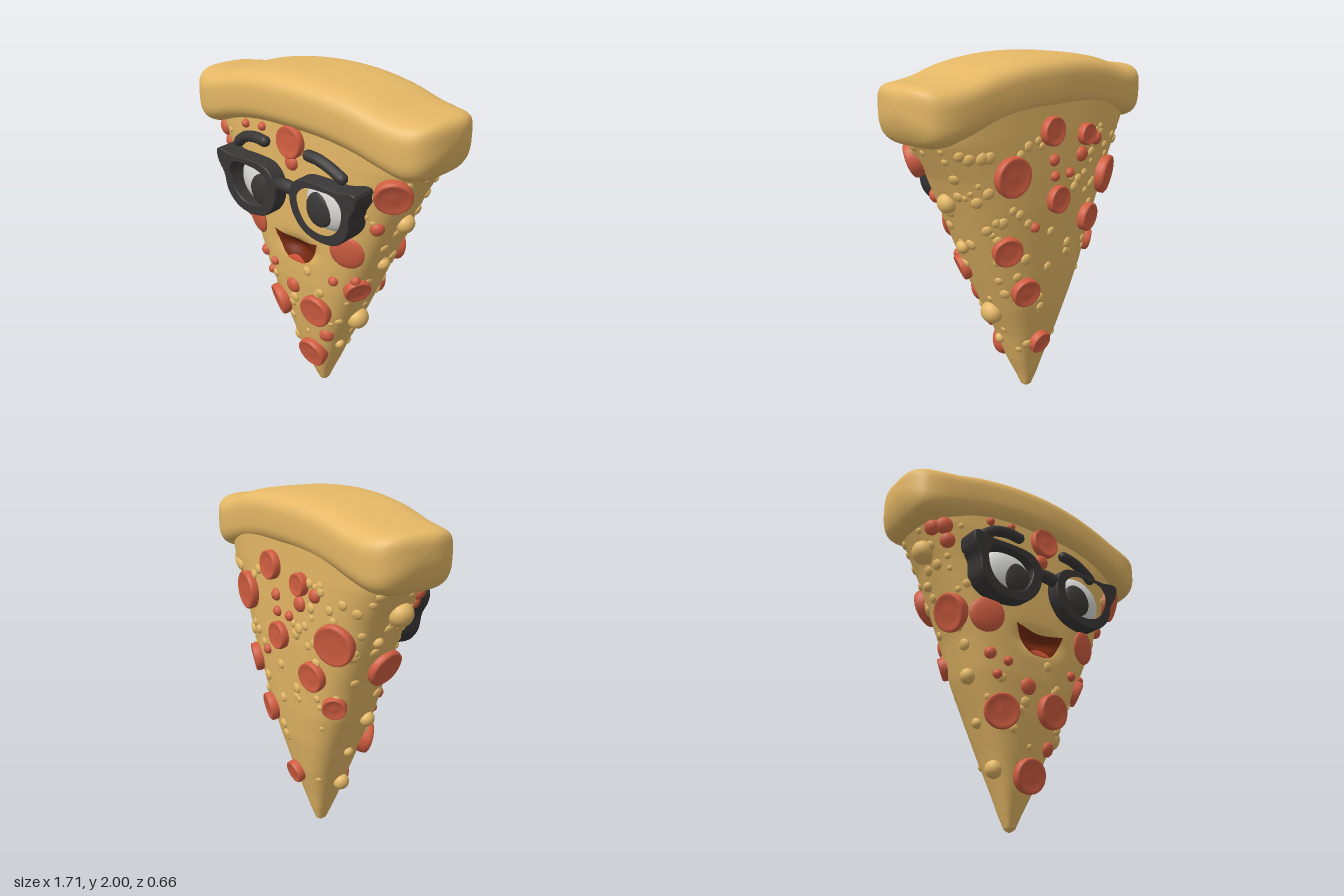
import * as THREE from 'three';
import { mergeGeometries } from 'three/addons/utils/BufferGeometryUtils.js';
import { ParametricGeometry } from 'three/addons/geometries/ParametricGeometry.js';

const V = (x, y, z = 0) => new THREE.Vector3(x, y, z);
const spow = (a, e) => Math.sign(a) * Math.pow(Math.abs(a), e);
const N = 3.1;       // squareness of the slice's cross-section
const CRUST_N = 3.5; // squareness of the crust's cross-section

// Slice outline by height: y, half width, centre x, front z, back z
const SLICE = [
  [0, 0, -0.02, -0.03, -0.03], [0.015, 0.025, -0.02, 0, -0.055], [0.1, 0.058, -0.02, 0.035, -0.085],
  [0.2, 0.1, -0.015, 0.07, -0.112], [0.4, 0.178, -0.015, 0.122, -0.17], [0.6, 0.268, -0.01, 0.167, -0.213],
  [0.8, 0.358, -0.01, 0.198, -0.24], [1.0, 0.438, 0, 0.218, -0.256], [1.2, 0.525, 0, 0.231, -0.27],
  [1.4, 0.615, 0, 0.24, -0.277], [1.6, 0.73, 0, 0.246, -0.28], [1.78, 0.77, 0, 0.246, -0.28],
];

function slice(y) {
  let i = 0;
  while (i < SLICE.length - 2 && y > SLICE[i + 1][0]) i++;
  const a = SLICE[i], b = SLICE[i + 1];
  const k = THREE.MathUtils.clamp((y - a[0]) / (b[0] - a[0]), 0, 1);
  const [, w, cx, f, r] = a.map((v, j) => v + (b[j] - v) * k);
  return { w, cx, cz: (f + r) / 2, d: (f - r) / 2 };
}

// Point on the slice surface, with the hollow of the mouth pressed in
function surf(t, y) {
  const { w, cx, cz, d } = slice(y);
  const p = V(cx + w * spow(Math.cos(t), 2 / N), y, cz + d * spow(Math.sin(t), 2 / N));
  if (Math.sin(t) > 0) p.z -= 0.05 * Math.exp(-((p.x / 0.11) ** 2) - ((y - 1.025) / 0.05) ** 2);
  return p;
}

function normalAt(t, y) {
  const e = 0.02;
  const dy = surf(t, y + e).sub(surf(t, y - e)), dt = surf(t + e, y).sub(surf(t - e, y));
  return dy.cross(dt).normalize();
}

// Surface angle for a given x on the front or back, or a given z on one side
function angleX(x, y, back) {
  const { w, cx } = slice(y);
  const t = Math.acos(spow(THREE.MathUtils.clamp((x - cx) / w, -0.995, 0.995), N / 2));
  return back ? -t : t;
}
function angleZ(side, z, y) {
  const { cz, d } = slice(y);
  const t = Math.asin(spow(THREE.MathUtils.clamp((z - cz) / d, -0.995, 0.995), N / 2));
  return side > 0 ? t : Math.PI - t;
}

// Closed skin through rings of points
function loft(rows, cols, point) {
  const pos = [], idx = [];
  for (let i = 0; i <= rows; i++)
    for (let j = 0; j < cols; j++) pos.push(...point(i / rows, (j / cols) * Math.PI * 2).toArray());
  for (let i = 0; i < rows; i++)
    for (let j = 0; j < cols; j++) {
      const a = i * cols + j, c = i * cols + (j + 1) % cols;
      idx.push(a, a + cols, c, c, a + cols, c + cols);
    }
  const g = new THREE.BufferGeometry();
  g.setAttribute('position', new THREE.Float32BufferAttribute(pos, 3));
  g.setIndex(idx);
  g.computeVertexNormals();
  return g;
}

// Seat a y-up geometry on the slice surface
function seat(geo, t, y, lift = 0) {
  const n = normalAt(t, y), p = surf(t, y).addScaledVector(n, lift);
  geo.applyQuaternion(new THREE.Quaternion().setFromUnitVectors(V(0, 1, 0), n));
  return geo.translate(p.x, p.y, p.z);
}
const blob = (r, h, seg = 12) => new THREE.SphereGeometry(1, seg, Math.ceil(seg * 0.7)).scale(r, h, r);
const pepperoniDisc = (r) => new THREE.LatheGeometry(
  [[0.88, -0.03], [0.97, 0], [1, 0.022], [0.97, 0.038], [0.88, 0.044], [0.76, 0.037], [0.4, 0.034], [0, 0.037]]
    .map(([a, h]) => new THREE.Vector2(a * r, h)), 28);

export function createModel() {
  const group = new THREE.Group();
  const mat = (name, color, side = THREE.FrontSide) => {
    const m = new THREE.MeshStandardMaterial({ color, side });
    m.name = name;
    return m;
  };
  const dough = mat('dough', 0xe5b866), red = mat('pepperoni red', 0xd25e41);
  const black = mat('frame black', 0x393736), white = mat('eye white', 0xd8d8d6);
  const maroon = mat('mouth maroon', 0x74280f, THREE.DoubleSide);
  const tongueRed = mat('tongue red', 0xd25236, THREE.DoubleSide);
  const add = (name, geo, material, parent = group) => {
    const m = new THREE.Mesh(geo, material);
    m.name = name;
    parent.add(m);
    return m;
  };

  // Slice body
  add('slice', loft(110, 96, (k, t) => surf(t, 1.78 * Math.pow(k, 1.15))), dough);

  // Crust: x, centre height, half height, half depth, mirrored about the middle
  const half = [[0.856, 1.795, 0, 0], [0.849, 1.79, 0.06, 0.085], [0.825, 1.77, 0.112, 0.165], [0.78, 1.746, 0.148, 0.225],
    [0.7, 1.742, 0.158, 0.26], [0.58, 1.766, 0.152, 0.276], [0.42, 1.808, 0.153, 0.286], [0.22, 1.838, 0.152, 0.3]];
  const full = [...half, [0, 1.847, 0.153, 0.308], ...half.slice().reverse().map(([x, ...r]) => [-x, ...r])];
  const spine = new THREE.CatmullRomCurve3(full.map(([x, y, h]) => V(x, y, h)), false, 'catmullrom');
  const depth = new THREE.CatmullRomCurve3(full.map(([x, , , d]) => V(x, d)), false, 'catmullrom');
  add('crust', loft(80, 56, (k, t) => {
    const s = spine.getPoint(k), d = Math.max(0, depth.getPoint(k).y);
    return V(s.x, s.y + Math.max(0, s.z) * spow(Math.cos(t), 2 / CRUST_N),
      d * spow(Math.sin(t), 2 / CRUST_N) * (1 + 0.03 * Math.cos(t)));
  }), dough);

  // Pepperoni discs: x, y, radius
  const discs = [[0.01, 1.65, 0.09], [0.61, 1.49, 0.1], [-0.2, 0.59, 0.098],
    [0.11, 0.645, 0.1], [0.01, 0.285, 0.098]];
  discs.forEach(([x, y, r]) => add('frontPepperoni', seat(pepperoniDisc(r), angleX(x, y), y), red));
  [[0.34, 1.41, 0.11], [0.06, 1.61, 0.08], [-0.22, 1.56, 0.062], [0, 1.23, 0.078], [-0.45, 1.29, 0.115],
    [-0.28, 1.07, 0.085], [0.19, 0.73, 0.085], [0.33, 1.0, 0.085], [0.02, 0.36, 0.07]].forEach(([x, y, r]) =>
    add('backPepperoni', seat(pepperoniDisc(r), angleX(x, y, true), y), red));
  // Side discs: side, z, y, radius
  [[1, 0.1, 0.84, 0.078], [-1, 0.06, 1.12, 0.11], [-1, -0.17, 0.9, 0.068]].forEach(
    ([s, z, y, r]) => add('sidePepperoni', seat(pepperoniDisc(r), angleZ(s, z, y), y, -0.012), red));

  // Small pepperoni pieces
  const bits = [[0, 1.53, 0.045], [0.13, 0.45, 0.045], [-0.06, 0.75, 0.05], [-0.3, 0.89, 0.035], [-0.2, 0.86, 0.028],
    [0.25, 0.89, 0.03], [-0.25, 0.78, 0.028], [-0.62, 1.57, 0.05], [-0.59, 1.49, 0.045], [-0.67, 1.56, 0.045],
    [0.51, 1.27, 0.04], [0.36, 0.91, 0.03], [-0.36, 1.665, 0.025], [-0.22, 1.68, 0.025]]
    .map(([x, y, r]) => seat(blob(r, 0.03), angleX(x, y), y));
  [[-0.2, 1.45, 0.045], [0.03, 1.45, 0.035], [-0.33, 1.52, 0.04], [0.02, 1.36, 0.03], [-0.1, 1.36, 0.03], [0.16, 1.1, 0.03]]
    .forEach(([x, y, r]) => bits.push(seat(blob(r, 0.03), angleX(x, y, true), y)));
  add('pepperoniBits', mergeGeometries(bits), red);

  // Large cheese blobs: side, z, y, radius
  add('cheeseBlobs', mergeGeometries([[-1, 0.02, 1.46, 0.068], [1, -0.02, 0.57, 0.068], [-1, 0.02, 0.31, 0.05],
    [-1, 0.05, 0.78, 0.045], [1, -0.02, 1.27, 0.055], [1, 0, 1.0, 0.04], [-1, -0.05, 1.3, 0.03], [1, 0.02, 0.36, 0.03],
    [-1, 0, 0.55, 0.03]].map(([s, z, y, r]) => seat(blob(r, r * 0.9, 16), angleZ(s, z, y), y, r * 0.15))), dough);

  // Scattered low cheese bumps, kept clear of the face
  let seed = 7;
  const rnd = () => (seed = (seed * 16807) % 2147483647) / 2147483647;
  const bumps = [];
  while (bumps.length < 130) {
    const y = 0.3 + 1.3 * Math.sqrt(rnd()), t = rnd() * Math.PI * 2, r = 0.016 + 0.018 * rnd();
    const p = surf(t, y);
    if (p.z > 0.1 && y > 0.9 && Math.abs(p.x) < 0.46) continue;
    bumps.push(seat(blob(r, r * 0.5, 10), t, y));
  }
  add('cheeseBumps', mergeGeometries(bumps), dough);

  // Cheeks
  for (const x of [-0.34, 0.35]) add('cheek', seat(blob(0.1, 0.025, 24), angleX(x, 1.1), 1.1), red);

  // Mouth and tongue follow the hollow in the slice
  const lip = (x) => 0.935 + 0.16 * Math.pow(Math.abs(x) / 0.165, 3.1);
  const patch = (w, top, lift) => new ParametricGeometry((u, v, out) => {
    const x = w * (2 * u - 1), y = THREE.MathUtils.lerp(lip(x), Math.max(lip(x), top(x)), v);
    out.copy(surf(angleX(x, y), y));
    out.z += lift;
  }, 28, 14);
  add('mouth', patch(0.165, (x) => 1.073 + 0.022 * (x / 0.165) ** 2, 0.008), maroon);
  add('tongue', patch(0.065, (x) => 0.972 - 5 * x * x, 0.013), tongueRed);

  // Eyes
  for (const [ex, px, py] of [[-0.24, -0.2, 1.33], [0.268, 0.235, 1.34]]) {
    add('eye', new THREE.SphereGeometry(1, 32, 20).scale(0.165, 0.145, 0.07).translate(ex, 1.365, 0.225), white);
    add('pupil', new THREE.SphereGeometry(1, 28, 16).scale(0.093, 0.097, 0.03).translate(px, py, 0.278), black);
  }

  // Glasses: thick extruded rims joined by a bridge
  const glasses = new THREE.Group();
  glasses.name = 'glasses';
  glasses.position.set(0, 1.36, 0.185);
  glasses.rotation.x = 0.07;
  group.add(glasses);
  const ring = (pts, s) => new THREE.CatmullRomCurve3(pts.map(([x, y]) => V(s * x, y - 1.36)), true)
    .getPoints(48).map((p) => new THREE.Vector2(p.x, p.y));
  const outer = [[0.07, 1.44], [0.13, 1.495], [0.26, 1.507], [0.4, 1.5], [0.51, 1.512], [0.51, 1.45], [0.47, 1.38],
    [0.45, 1.28], [0.38, 1.207], [0.27, 1.185], [0.15, 1.213], [0.08, 1.29], [0.06, 1.37]];
  const inner = [[0.115, 1.41], [0.17, 1.465], [0.27, 1.48], [0.38, 1.472], [0.425, 1.42], [0.41, 1.32],
    [0.355, 1.255], [0.265, 1.232], [0.175, 1.258], [0.125, 1.33]];
  const bevel = { depth: 0.125, bevelEnabled: true, bevelSize: 0.007, bevelThickness: 0.012, bevelSegments: 3 };
  for (const s of [-1, 1]) {
    const shape = new THREE.Shape(ring(outer, s));
    shape.holes.push(new THREE.Path(ring(inner, s)));
    add('rim', new THREE.ExtrudeGeometry(shape, bevel), black, glasses);
  }
  const arch = new THREE.QuadraticBezierCurve3(V(-0.09, 0.04, 0.1), V(0, 0.075, 0.1), V(0.09, 0.04, 0.1));
  add('bridge', new THREE.TubeGeometry(arch, 16, 0.037, 12), black, glasses);

  // Eyebrows
  for (const pts of [[[-0.41, 1.555], [-0.35, 1.595], [-0.26, 1.615], [-0.18, 1.61]],
    [[0.15, 1.612], [0.22, 1.605], [0.3, 1.578], [0.37, 1.54]]]) {
    const path = pts.map(([x, y]) => surf(angleX(x, y), y).add(V(0, 0, 0.025)));
    const tube = new THREE.TubeGeometry(new THREE.CatmullRomCurve3(path), 24, 0.031, 12);
    const caps = [path[0], path[3]].map((p) => new THREE.SphereGeometry(0.031, 12, 10).translate(p.x, p.y, p.z));
    add('eyebrow', mergeGeometries([tube, ...caps]), black);
  }
  return group;
}
